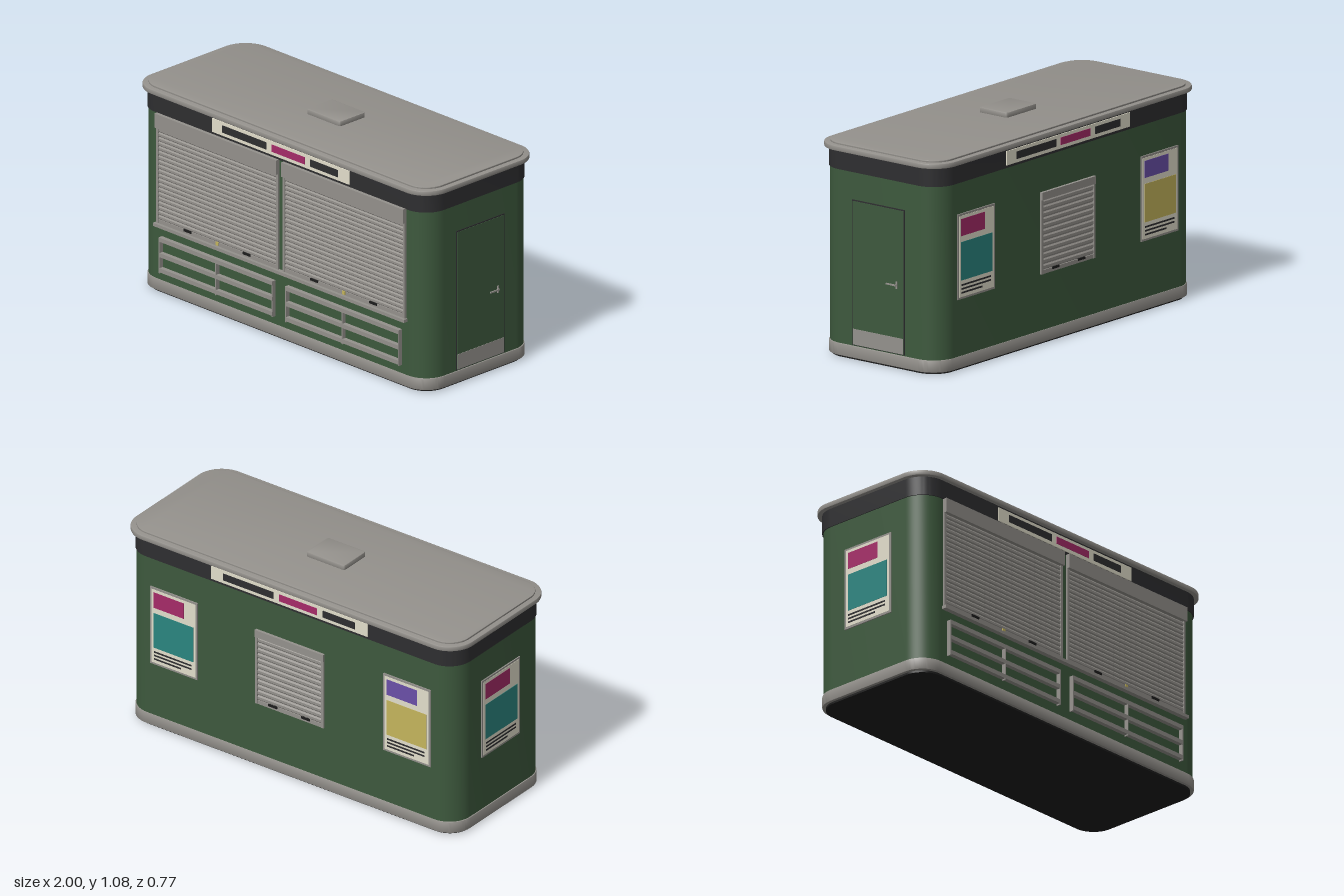
import * as THREE from 'three';
import { toCreasedNormals } from 'three/addons/utils/BufferGeometryUtils.js';

const paint = (name, color) => {
  const m = new THREE.MeshStandardMaterial({ color });
  m.name = name;
  return m;
};
const green = paint('wall green', 0x3d593d);
const metal = paint('warm grey metal', 0x94918c);
const dark = paint('charcoal', 0x2e2e30);
const black = paint('base black', 0x1c1c1c);
const cream = paint('paper cream', 0xe2decb);
const magenta = paint('magenta', 0xa52b68);
const teal = paint('teal', 0x2b8580);
const purple = paint('purple', 0x6a4fa8);
const yellow = paint('yellow', 0xc4b45c);

function add(parent, name, geometry, material) {
  const mesh = new THREE.Mesh(geometry, material);
  mesh.name = name;
  parent.add(mesh);
  return mesh;
}

// Box given by its limits on each axis
function box(parent, name, material, x0, x1, y0, y1, z0, z1) {
  const mesh = add(parent, name, new THREE.BoxGeometry(x1 - x0, y1 - y0, z1 - z0), material);
  mesh.position.set((x0 + x1) / 2, (y0 + y1) / 2, (z0 + z1) / 2);
  return mesh;
}

// Upright slab with a rounded-rectangle plan and an optional bevelled rim
function slab(parent, name, material, hx, hz, r, y0, y1, bevel = 0) {
  const a = hx - bevel, b = hz - bevel, q = r - bevel;
  const s = new THREE.Shape();
  s.moveTo(-a + q, -b);
  s.lineTo(a - q, -b);
  s.absarc(a - q, -b + q, q, -Math.PI / 2, 0);
  s.lineTo(a, b - q);
  s.absarc(a - q, b - q, q, 0, Math.PI / 2);
  s.lineTo(-a + q, b);
  s.absarc(-a + q, b - q, q, Math.PI / 2, Math.PI);
  s.lineTo(-a, -b + q);
  s.absarc(-a + q, -b + q, q, Math.PI, Math.PI * 1.5);
  const g = new THREE.ExtrudeGeometry(s, {
    depth: y1 - y0 - 2 * bevel, curveSegments: 10,
    bevelEnabled: bevel > 0, bevelSize: bevel, bevelThickness: bevel, bevelSegments: 2,
  });
  g.rotateX(-Math.PI / 2);
  g.translate(0, y0 + bevel, 0);
  return add(parent, name, toCreasedNormals(g, 0.5), material);
}

// Ribbed roller curtain, local z = 0 is the wall
function curtain(parent, x0, x1, y0, y1, count) {
  const h = (y1 - y0) / count;
  const s = new THREE.Shape();
  s.moveTo(0, y0);
  for (let i = 0; i < count; i++) {
    const y = y0 + i * h;
    s.lineTo(0.003, y);
    s.lineTo(0.008, y + 0.2 * h);
    s.lineTo(0.008, y + 0.65 * h);
    s.lineTo(0.003, y + 0.9 * h);
  }
  s.lineTo(0.003, y1);
  s.lineTo(0, y1);
  const g = new THREE.ExtrudeGeometry(s, { depth: x1 - x0, bevelEnabled: false });
  g.rotateY(-Math.PI / 2);
  g.translate(x1, 0, 0);
  add(parent, 'shutterCurtain', g, metal);
}

// Shutter with housing, guide rails, bottom bar and pull handles
function shutter({ x0, x1, y0, y1, housing, depth, count, pulls, lock }) {
  const g = new THREE.Group();
  g.name = 'rollerShutter';
  box(g, 'shutterHousing', metal, x0, x1, y1 - housing, y1, 0, depth);
  curtain(g, x0 + 0.012, x1 - 0.012, y0 + 0.02, y1 - housing, count);
  box(g, 'bottomBar', metal, x0 + 0.012, x1 - 0.012, y0, y0 + 0.02, 0, 0.009);
  box(g, 'guideRail', metal, x0, x0 + 0.013, y0, y1 - housing, 0, 0.011);
  box(g, 'guideRail', metal, x1 - 0.013, x1, y0, y1 - housing, 0, 0.011);
  const mid = (x0 + x1) / 2;
  for (const side of [-1, 1]) {
    const x = mid + side * pulls;
    box(g, 'pullHandle', black, x - 0.025, x + 0.025, y0 + 0.012, y0 + 0.023, 0.008, 0.014);
  }
  if (lock) box(g, 'lock', yellow, mid - 0.009, mid + 0.009, y0 + 0.004, y0 + 0.022, 0.008, 0.013);
  return g;
}

// Framed poster centred on its own origin, facing +z
function poster(w, h, titleColor, pictureColor) {
  const g = new THREE.Group();
  g.name = 'poster';
  const plate = (name, m, u0, u1, v0, v1, t) =>
    box(g, name, m, (u0 - 0.5) * w, (u1 - 0.5) * w, (0.5 - v1) * h, (0.5 - v0) * h, 0, t);
  plate('posterFrame', metal, 0, 1, 0, 1, 0.006);
  plate('posterPaper', cream, 0.035, 0.965, 0.025, 0.975, 0.0075);
  plate('posterTitle', titleColor, 0.08, 0.72, 0.06, 0.26, 0.009);
  plate('posterPicture', pictureColor, 0.08, 0.92, 0.33, 0.78, 0.009);
  [0.88, 0.88, 0.66].forEach((end, i) =>
    plate('posterLine', dark, 0.09, end, 0.825 + i * 0.045, 0.845 + i * 0.045, 0.009));
  return g;
}

// Fascia sign with three blank bars, facing +z
function sign() {
  const g = new THREE.Group();
  g.name = 'fasciaSign';
  box(g, 'signBoard', cream, -0.465, 0.465, 0.938, 1.008, 0, 0.005);
  for (const [x0, x1, m] of [[-0.393, -0.094, dark], [-0.06, 0.165, magenta], [0.2, 0.39, dark]])
    box(g, 'signBar', m, x0, x1, 0.955, 0.992, 0, 0.007);
  return g;
}

// Magazine rack: three ledges on three brackets
function rack(x0, x1) {
  const g = new THREE.Group();
  g.name = 'displayRack';
  for (const y of [0.118, 0.196, 0.275])
    box(g, 'rackLedge', metal, x0, x1, y, y + 0.021, 0, 0.023);
  for (const x of [x0, (x0 + x1) / 2 - 0.003, x1 - 0.006])
    box(g, 'rackBracket', metal, x, x + 0.006, 0.112, 0.296, 0, 0.0225);
  return g;
}

export function createModel() {
  const root = new THREE.Group();
  root.name = 'kiosk';
  const place = (part, x, y, z, ry = 0) => {
    part.position.set(x, y, z);
    part.rotation.y = ry;
    root.add(part);
  };

  // Shell
  slab(root, 'baseFoot', black, 0.965, 0.348, 0.11, 0, 0.012);
  slab(root, 'plinth', metal, 0.98, 0.363, 0.12, 0.01, 0.07, 0.004);
  slab(root, 'walls', green, 0.975, 0.36, 0.12, 0.065, 0.93);
  slab(root, 'fascia', dark, 0.979, 0.365, 0.122, 0.924, 1.02);
  slab(root, 'roofRim', metal, 1, 0.384, 0.135, 1.018, 1.043, 0.004);
  slab(root, 'roofPanel', metal, 0.972, 0.356, 0.11, 1.04, 1.052, 0.003);
  slab(root, 'roofHatch', metal, 0.114, 0.086, 0.012, 1.05, 1.077, 0.003);

  // Signs front and back
  place(sign(), 0, 0, 0.365);
  place(sign(), 0, 0, -0.365, Math.PI);

  // Serving front
  for (const s of [-1, 1]) {
    const [a, b] = s < 0 ? [-0.842, -0.016] : [0.016, 0.842];
    place(shutter({ x0: a, x1: b, y0: 0.36, y1: 0.925, housing: 0.073, depth: 0.023,
      count: 20, pulls: 0.2, lock: true }), 0, 0, 0.36);
    const [c, d] = s < 0 ? [-0.813, -0.043] : [0.043, 0.813];
    place(rack(c, d), 0, 0, 0.36);
  }
  box(root, 'counterSill', metal, -0.85, 0.85, 0.345, 0.361, 0.355, 0.385);

  // Back window and posters
  place(shutter({ x0: -0.203, x1: 0.203, y0: 0.347, y1: 0.75, housing: 0.038, depth: 0.015,
    count: 12, pulls: 0.097, lock: false }), 0, 0, -0.36, Math.PI);
  place(poster(0.28, 0.42, magenta, teal), 0.69, 0.56, -0.36, Math.PI);
  place(poster(0.28, 0.42, purple, yellow), -0.695, 0.56, -0.36, Math.PI);
  place(poster(0.3, 0.42, magenta, teal), -0.975, 0.562, 0, -Math.PI / 2);

  // Side door, modelled facing +z
  const door = new THREE.Group();
  door.name = 'sideDoor';
  box(door, 'doorSeal', dark, -0.161, 0.161, 0.074, 0.789, 0, 0.003);
  box(door, 'doorLeaf', green, -0.155, 0.155, 0.077, 0.783, 0, 0.005);
  box(door, 'kickPlate', metal, -0.153, 0.153, 0.078, 0.155, 0, 0.007);
  box(door, 'handlePlate', metal, 0.11, 0.118, 0.396, 0.431, 0, 0.009);
  box(door, 'handleStem', metal, 0.108, 0.116, 0.409, 0.418, 0.005, 0.016);
  box(door, 'handleLever', metal, 0.056, 0.116, 0.41, 0.417, 0.011, 0.017);
  place(door, 0.975, 0, 0, Math.PI / 2);

  return root;
}
